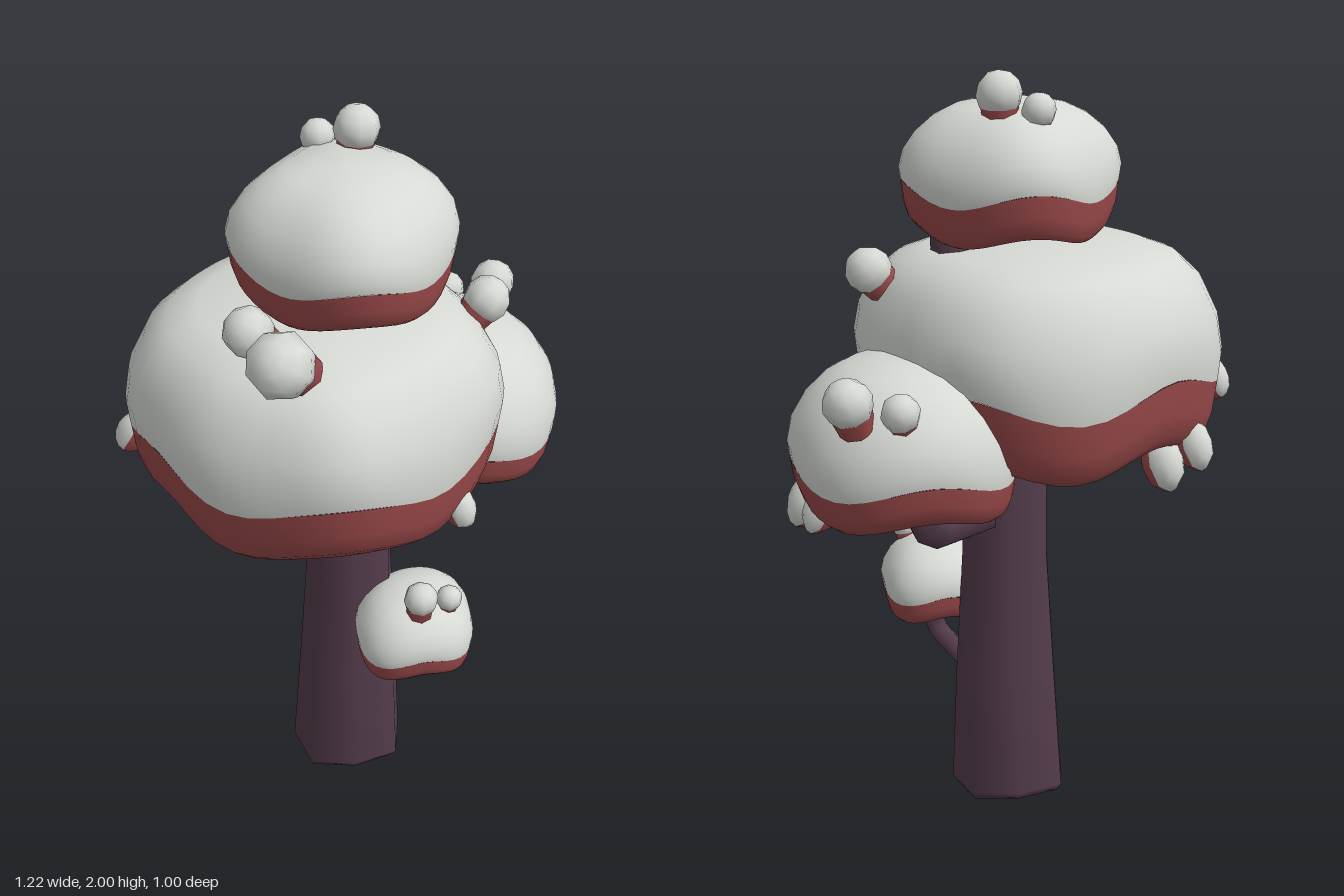
import * as THREE from 'three';

const snow = new THREE.MeshStandardMaterial({ color: 0xd6d9d4 });
snow.name = 'snow white';
const red = new THREE.MeshStandardMaterial({ color: 0x9c4a4b });
red.name = 'foliage red';
const bark = new THREE.MeshStandardMaterial({ color: 0x543c4c });
bark.name = 'bark purple';

const V = (p) => new THREE.Vector3(...p);

function add(parent, name, geometry, material) {
  const mesh = new THREE.Mesh(geometry, material);
  mesh.name = name;
  parent.add(mesh);
  return mesh;
}

// Skin over closed rings, listed from bottom to top
function loft(rings) {
  const n = rings[0].length, pos = [], idx = [];
  rings.forEach((ring) => ring.forEach((p) => pos.push(...p)));
  for (let j = 0; j < rings.length - 1; j++) {
    for (let i = 0; i < n; i++) {
      const a = j * n + i, b = j * n + (i + 1) % n;
      idx.push(a, a + n, b + n, a, b + n, b);
    }
  }
  const g = new THREE.BufferGeometry();
  g.setAttribute('position', new THREE.Float32BufferAttribute(pos, 3));
  g.setIndex(idx);
  g.computeVertexNormals();
  return g;
}

// Smooth closed interpolation of radii spaced evenly around a circle
function radiusAt(radii, t) {
  const n = radii.length, k = Math.floor(t * n), f = t * n - k;
  const [a, b, c, d] = [-1, 0, 1, 2].map((o) => radii[(k + o + n) % n]);
  return b + 0.5 * f * (c - a + f * (2 * a - 5 * b + 4 * c - d + f * (3 * (b - c) + d - a)));
}

// Profiles: [radius factor, height factor]
const UNDER = [[0.001, 0.45], [0.4, 0.4], [0.65, 0.2], [0.79, 0.03], [0.86, 0], [0.92, 0.17], [0.96, 0.5], [0.985, 1]];
const BROAD = [[0.985, 0], [1, 0.2], [0.97, 0.45], [0.88, 0.7], [0.76, 0.86], [0.6, 0.95], [0.3, 1], [0.001, 1]];
const DOME = [[0.985, 0], [1, 0.15], [0.96, 0.38], [0.85, 0.61], [0.69, 0.8], [0.5, 0.925], [0.25, 0.985], [0.001, 1]];

function canopy(parent, name, o) {
  const N = 48, [cx, cz] = o.center;
  const ring = (r, y, swing) => Array.from({ length: N }, (_, i) => {
    const a = (i / N) * Math.PI * 2, R = r * radiusAt(o.radii, i / N);
    const wave = swing * o.amp * Math.cos(o.lobes * (a - Math.PI / 2));
    return [cx + R * Math.cos(a), y + wave, cz + R * Math.sin(a)];
  });
  const lower = UNDER.map(([r, h]) => ring(r, o.low + (o.seam - o.low) * h, r * r));
  const upper = o.profile.map(([r, h]) => ring(r, o.seam + (o.top - o.seam) * h, (1 - h) ** 1.5));
  const group = new THREE.Group();
  group.name = name;
  add(group, name + 'Underside', loft(lower), red);
  add(group, name + 'Snow', loft(upper), snow);
  parent.add(group);
}

// Snowy ball on a thick red stem
function puff(parent, base, tip, r) {
  const group = new THREE.Group(), a = V(base), b = V(tip);
  group.name = 'puff';
  const dir = b.clone().sub(a), length = dir.length();
  const turn = new THREE.Quaternion().setFromUnitVectors(new THREE.Vector3(0, 1, 0), dir.normalize());
  const ball = add(group, 'puffCap', new THREE.SphereGeometry(r, 8, 6), snow);
  ball.position.copy(b);
  const stem = add(group, 'puffStem', new THREE.CylinderGeometry(r * 0.9, r * 0.7, length, 8), red);
  stem.position.copy(a).add(b).multiplyScalar(0.5);
  ball.quaternion.copy(turn);
  stem.quaternion.copy(turn);
  parent.add(group);
}

// Hanging bud: snowy on the outer half, red on the inner half
function bud(parent, at, out, r) {
  const group = new THREE.Group();
  group.name = 'bud';
  [[snow, 0, 'budSnow'], [red, Math.PI / 2, 'budInner']].forEach(([m, start, name]) => {
    add(group, name, new THREE.SphereGeometry(r, 8, 4, 0, Math.PI * 2, start, Math.PI / 2), m).rotation.x = Math.PI / 2;
  });
  group.position.copy(V(at));
  group.lookAt(V(at).add(V(out)));
  group.scale.set(1, 1.55, 1.05);
  parent.add(group);
}

function branch(parent, name, pts, r) {
  const path = new THREE.CatmullRomCurve3(pts.map(V), false, 'catmullrom', 0.05);
  add(parent, name, new THREE.TubeGeometry(path, 12, r, 6), bark);
}

export function createModel() {
  const tree = new THREE.Group();
  tree.name = 'tree';

  // Trunk: rounded square section, leaning slightly at the top [y, radius, x shift]
  const sections = [[0, 0.001, -0.007], [0, 0.147, -0.007], [0.02, 0.156, -0.007], [0.35, 0.138, -0.002],
    [0.7, 0.117, 0], [1.0, 0.115, 0], [1.2, 0.1, 0.03], [1.45, 0.068, 0.125], [1.72, 0.063, 0.138], [1.72, 0.001, 0.138]];
  add(tree, 'trunk', loft(sections.map(([y, r, x]) => Array.from({ length: 8 }, (_, i) => {
    const a = i * Math.PI / 4, R = r * (i % 2 ? 1.14 : 1);
    return [x + R * Math.cos(a), y, R * Math.sin(a)];
  }))), bark);

  // Branches
  branch(tree, 'rightBranch', [[-0.03, 0.91, 0.03], [-0.17, 0.915, 0.11], [-0.235, 0.96, 0.14], [-0.25, 1.2, 0.14]], 0.05);
  branch(tree, 'leftBranch', [[0.04, 0.82, -0.04], [0.22, 0.83, -0.18], [0.265, 0.87, -0.205], [0.28, 1.12, -0.22]], 0.052);
  branch(tree, 'lowBranch', [[0.07, 0.31, 0.07], [0.15, 0.39, 0.15], [0.165, 0.42, 0.165], [0.165, 0.56, 0.165]], 0.029);

  // Canopies
  canopy(tree, 'mainCanopy', { center: [-0.09, 0.01], low: 1.03, seam: 1.212, top: 1.55, amp: 0.031, lobes: 5, profile: BROAD,
    radii: [0.475, 0.488, 0.468, 0.467, 0.49, 0.465, 0.465, 0.46, 0.485, 0.487, 0.463, 0.463, 0.488, 0.495, 0.472, 0.462] });
  canopy(tree, 'topCanopy', { center: [-0.015, 0], low: 1.585, seam: 1.695, top: 1.915, amp: 0.022, lobes: 4,
    profile: DOME, radii: [0.288, 0.275, 0.29, 0.265, 0.29, 0.26, 0.29, 0.275] });
  canopy(tree, 'sideCanopy', { center: [0.29, -0.19], low: 0.94, seam: 1.04, top: 1.31, amp: 0.022, lobes: 4,
    profile: DOME, radii: [0.31, 0.33, 0.315, 0.28, 0.26, 0.3, 0.315, 0.328] });
  canopy(tree, 'lowCanopy', { center: [0.152, 0.165], low: 0.482, seam: 0.545, top: 0.685, amp: 0.012, lobes: 4,
    profile: DOME, radii: [0.16, 0.175, 0.165, 0.185, 0.162, 0.16, 0.165, 0.185] });

  // Puffs on the canopies: base, tip, radius
  [
    [[0.035, 1.86, -0.11], [0.04, 1.942, -0.115], 0.06],
    [[-0.05, 1.85, -0.15], [-0.05, 1.905, -0.16], 0.045],
    [[-0.165, 1.515, 0.285], [-0.222, 1.588, 0.35], 0.086],
    [[-0.22, 1.52, 0.185], [-0.28, 1.6, 0.215], 0.065],
    [[0.295, 1.415, 0.008], [0.357, 1.487, 0], 0.062],
    [[0.455, 1.19, -0.4], [0.48, 1.265, -0.42], 0.064],
    [[0.345, 1.18, -0.42], [0.357, 1.24, -0.445], 0.05],
    [[0.15, 0.65, 0.245], [0.152, 0.722, 0.255], 0.047],
    [[0.228, 0.64, 0.22], [0.235, 0.692, 0.23], 0.036],
  ].forEach((p) => puff(tree, ...p));

  // Buds under the rims: position, outward direction, radius
  [
    [[0.235, 1.06, 0.295], [1, 0.45, 0.8], 0.042],
    [[0.545, 0.945, -0.175], [1, 0.6, -0.15], 0.054],
    [[0.53, 0.95, -0.27], [1, 0.6, -0.35], 0.045],
    [[-0.37, 0.99, -0.23], [-0.75, 0.5, -1.1], 0.054],
    [[-0.455, 1.03, -0.23], [-0.75, 0.5, -1], 0.047],
    [[-0.56, 1.155, -0.04], [-1, 0.6, -0.4], 0.044],
  ].forEach((b) => bud(tree, ...b));

  return tree;
}
